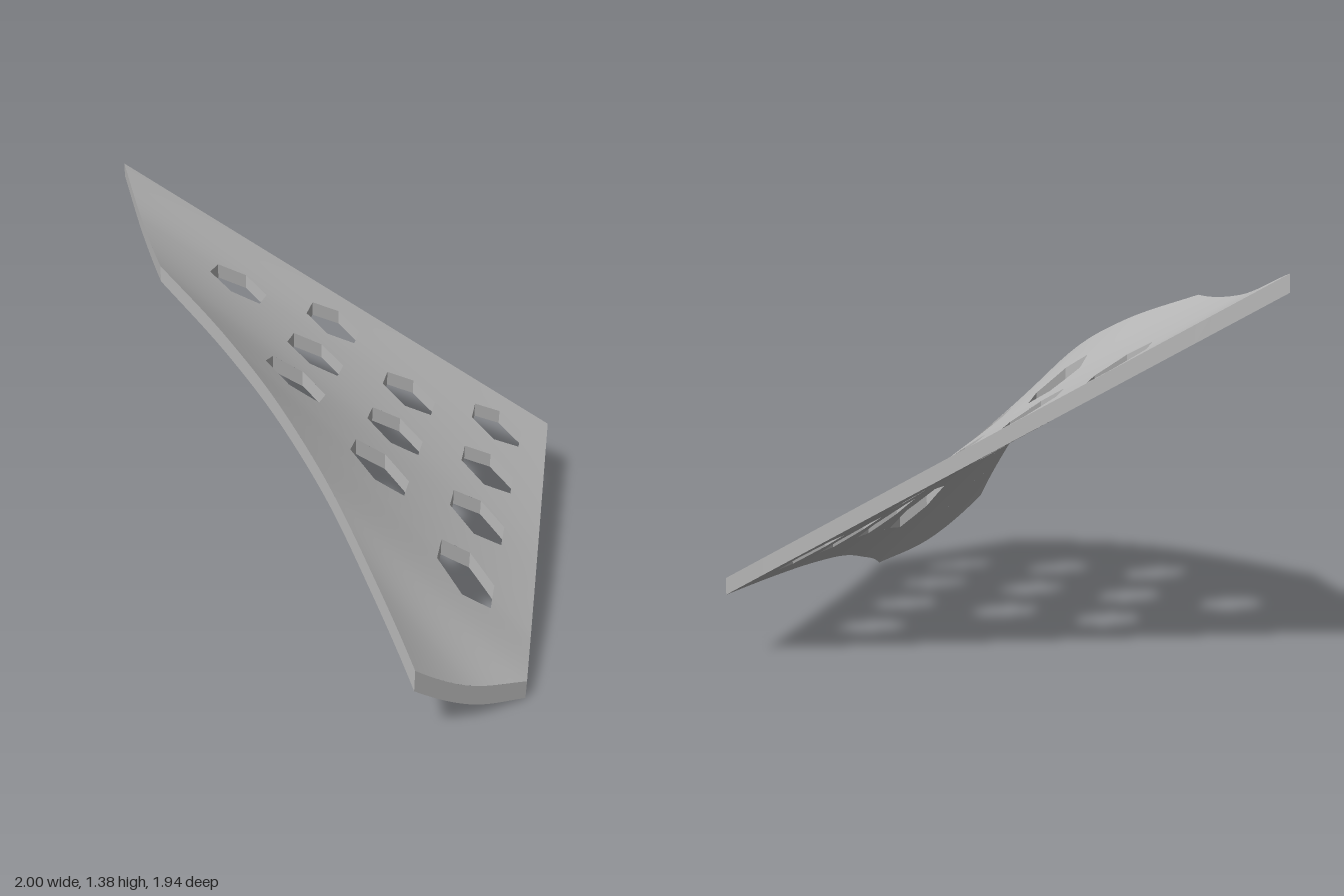
import * as THREE from 'three';

// Plan outline and hexagon centres as [x, z]
const OUTLINE = [[-1, -0.97], [0.945, -0.97], [1, 0.6], [0.63, 0.97], [-0.58, -0.14]];
const HOLES = [
  [-0.37, -0.53],
  [0, -0.713], [0, -0.345], [0, 0.022],
  [0.367, -0.53], [0.367, -0.163], [0.367, 0.205],
  [0.733, -0.713], [0.733, -0.345], [0.733, 0.022], [0.733, 0.39],
];
const HOLE_RADIUS = 0.121;
const THICKNESS = 0.052;

// Ruled surface: at each z the panel is a straight line y = a + b x
const Z_KEYS = [-0.97, -0.55, -0.14, 0.2, 0.39, 0.6, 0.8, 0.97];
const LINES = [
  0.825, -0.555, 0.833, -0.585, 0.887, -0.669, 0.98, -0.8,
  1.04, -0.9, 1.095, -1.015, 1.145, -1.2, 1.222, -1.376,
];
const spline = new THREE.CubicInterpolant(Z_KEYS, LINES, 2, new Float64Array(2));

function lineAt(z) {
  const [a, b] = spline.evaluate(THREE.MathUtils.clamp(z, -0.97, 0.97));
  return { a, b };
}

// Top height, bottom height and upward normal at a plan position
function surface(x, z) {
  const { a, b } = lineAt(z);
  const z0 = Math.max(z - 0.005, -0.97), z1 = Math.min(z + 0.005, 0.97);
  const p = lineAt(z0), q = lineAt(z1);
  const slopeZ = (q.a + q.b * x - p.a - p.b * x) / (z1 - z0);
  const top = a + b * x;
  const stretch = Math.hypot(1, b, slopeZ);
  return {
    top,
    bottom: Math.max(0, top - THICKNESS * stretch),
    normal: [-b / stretch, 1 / stretch, -slopeZ / stretch],
  };
}

function hexagon([cx, cz]) {
  return Array.from({ length: 6 }, (_, i) => {
    const t = (i * Math.PI) / 3;
    return [cx + HOLE_RADIUS * Math.sin(t), cz - HOLE_RADIUS * Math.cos(t)];
  });
}

// Left and right x of a convex or z-monotone loop within the strip z0..z1
function crossings(loop, z0, z1) {
  const mid = (z0 + z1) / 2;
  const hits = [];
  loop.forEach(([xa, za], i) => {
    const [xb, zb] = loop[(i + 1) % loop.length];
    if ((za < mid) === (zb < mid)) return;
    const at = (z) => xa + ((xb - xa) * (z - za)) / (zb - za);
    hits.push({ mid: at(mid), x0: at(z0), x1: at(z1) });
  });
  return hits;
}

class Builder {
  positions = [];
  normals = [];
  indices = [];
  vertex(p, n) {
    this.positions.push(...p);
    this.normals.push(...n);
    return this.positions.length / 3 - 1;
  }
  quad(a, b, c, d) {
    this.indices.push(a, b, c, a, c, d);
  }
  mesh(name, material) {
    const g = new THREE.BufferGeometry();
    g.setAttribute('position', new THREE.Float32BufferAttribute(this.positions, 3));
    g.setAttribute('normal', new THREE.Float32BufferAttribute(this.normals, 3));
    g.setIndex(this.indices);
    const mesh = new THREE.Mesh(g, material);
    mesh.name = name;
    return mesh;
  }
}

// Curved face, built in narrow strips between the holes
function buildFace(name, material, hexes, isTop) {
  const out = new Builder();
  const point = (x, z) => {
    const s = surface(x, z);
    return isTop
      ? out.vertex([x, s.top, z], s.normal)
      : out.vertex([x, s.bottom, z], s.normal.map((v) => -v));
  };
  const corners = [...OUTLINE, ...hexes.flat()].map((p) => p[1]);
  for (let i = 0; i <= 60; i++) corners.push(-0.97 + (1.94 * i) / 60);
  const levels = corners.sort((a, b) => a - b).filter((z, i, all) => i === 0 || z - all[i - 1] > 1e-6);

  for (let k = 0; k < levels.length - 1; k++) {
    const z0 = levels[k], z1 = levels[k + 1];
    const hits = [OUTLINE, ...hexes].flatMap((loop) => crossings(loop, z0, z1));
    hits.sort((a, b) => a.mid - b.mid);
    for (let i = 0; i + 1 < hits.length; i += 2) {
      const l = hits[i], r = hits[i + 1];
      const steps = Math.max(1, Math.ceil((r.mid - l.mid) / 0.08));
      let previous = null;
      for (let s = 0; s <= steps; s++) {
        const t = s / steps;
        const pair = [point(l.x0 + (r.x0 - l.x0) * t, z0), point(l.x1 + (r.x1 - l.x1) * t, z1)];
        if (previous) {
          const q = [previous[0], previous[1], pair[1], pair[0]];
          out.quad(...(isTop ? q : q.reverse()));
        }
        previous = pair;
      }
    }
  }
  return out.mesh(name, material);
}

// Vertical wall following a plan loop
function buildWall(name, material, loop, steps) {
  const out = new Builder();
  loop.forEach(([xa, za], i) => {
    const [xb, zb] = loop[(i + 1) % loop.length];
    const length = Math.hypot(xb - xa, zb - za);
    const normal = [(zb - za) / length, 0, -(xb - xa) / length];
    let previous = null;
    for (let s = 0; s <= steps; s++) {
      const x = xa + ((xb - xa) * s) / steps, z = za + ((zb - za) * s) / steps;
      const { top, bottom } = surface(x, z);
      const pair = [out.vertex([x, top, z], normal), out.vertex([x, bottom, z], normal)];
      if (previous) out.quad(previous[0], pair[0], pair[1], previous[1]);
      previous = pair;
    }
  });
  return out.mesh(name, material);
}

export function createModel() {
  const group = new THREE.Group();
  group.name = 'perforatedCurvedPanel';
  const grey = new THREE.MeshStandardMaterial({ color: 0xb8b8b8 });
  grey.name = 'panelGrey';

  const hexes = HOLES.map(hexagon);
  group.add(buildFace('topFace', grey, hexes, true));
  group.add(buildFace('bottomFace', grey, hexes, false));
  group.add(buildWall('outerEdge', grey, OUTLINE, 40));
  hexes.forEach((hex, i) => {
    group.add(buildWall(`hexHoleWall${i + 1}`, grey, [...hex].reverse(), 4));
  });
  return group;
}
